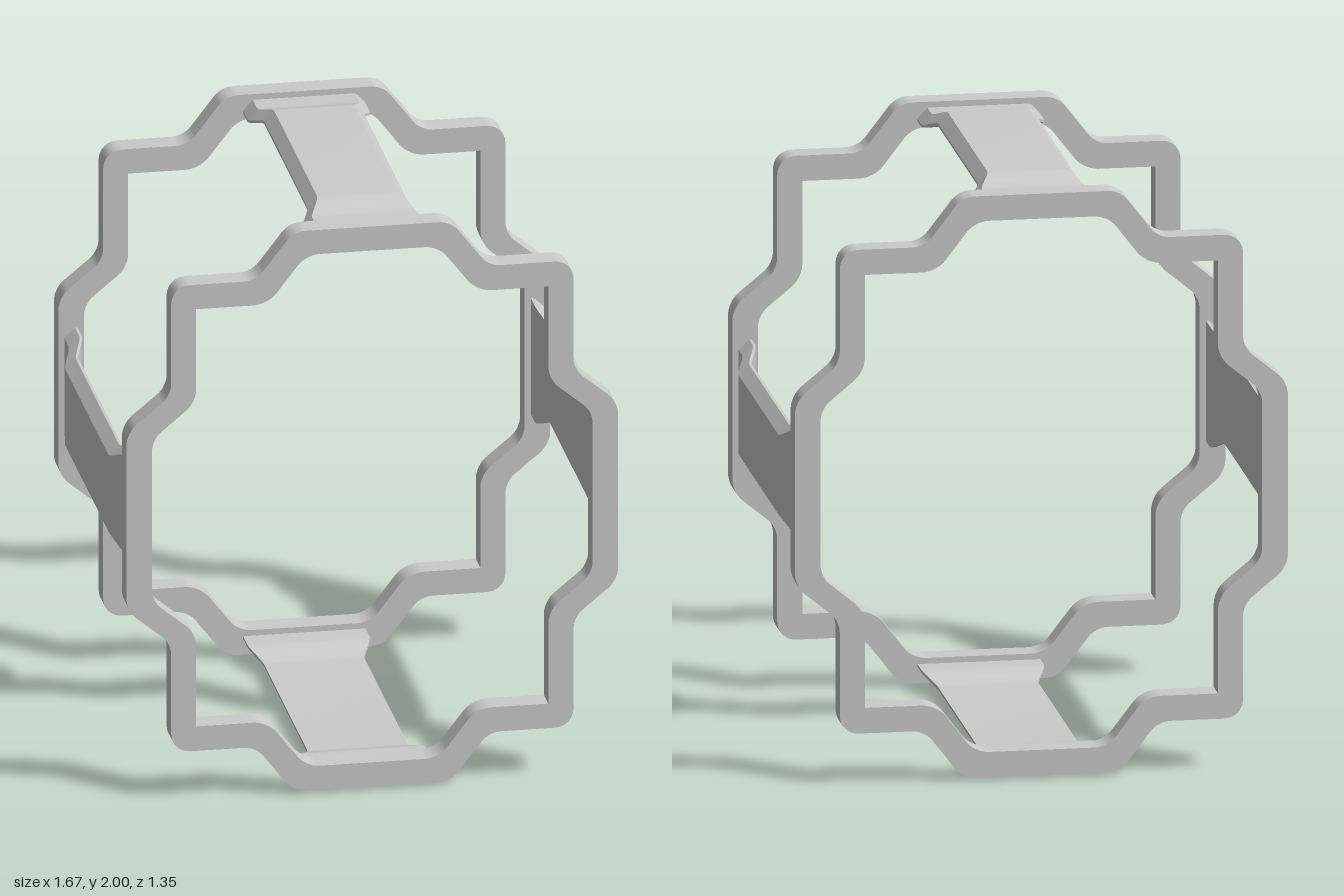
import * as THREE from 'three';
import { toCreasedNormals } from 'three/addons/utils/BufferGeometryUtils.js';

const material = new THREE.MeshStandardMaterial({ color: 0xcccccc });
const CREASE = 0.5;

// One quadrant of each ring outline, top to side: [x, y, corner trim]
const OUTER = [[0.263, 0.989, 0.04], [0.39, 0.8235, 0.04], [0.674, 0.8235, 0.065],
  [0.674, 0.4375, 0.04], [0.824, 0.3145, 0.045]];
const INNER = [[0.222, 0.904, 0.045], [0.35, 0.737, 0.05], [0.59, 0.737, 0],
  [0.59, 0.408, 0.045], [0.738, 0.286, 0.04]];

// Mirror a quadrant into a full counter-clockwise loop and trace it with rounded corners
function traceLoop(path, quadrant) {
  const flip = (list, sx, sy) => list.map(([x, y, t]) => [x * sx, y * sy, t]);
  const back = [...quadrant].reverse();
  const loop = [...back, ...flip(quadrant, -1, 1), ...flip(back, -1, -1), ...flip(quadrant, 1, -1)];
  const n = loop.length;
  loop.forEach(([x, y, trim], i) => {
    const p = new THREE.Vector2(x, y);
    const toward = (q, d) => new THREE.Vector2(q[0], q[1]).sub(p).setLength(d).add(p);
    const prev = loop[(i + n - 1) % n], next = loop[(i + 1) % n];
    const a = toward(prev, trim), b = toward(next, trim);
    if (i === 0) path.moveTo(a.x, a.y);
    else path.lineTo(a.x, a.y);
    if (trim > 0) {
      const c = toward(prev, trim * 0.42), d = toward(next, trim * 0.42);
      path.bezierCurveTo(c.x, c.y, d.x, d.y, b.x, b.y);
    }
  });
  path.closePath();
  return path;
}

function ringGeometry() {
  const shape = traceLoop(new THREE.Shape(), OUTER);
  shape.holes.push(traceLoop(new THREE.Path(), INNER));
  const geometry = new THREE.ExtrudeGeometry(shape, { depth: 0.086, bevelEnabled: false, curveSegments: 8 });
  geometry.translate(0, 0, -0.043);
  return toCreasedNormals(geometry, CREASE);
}

// Bevelled strip along z: its ends are wider and step inward (local +y is outward)
function strapGeometry() {
  const stations = [-0.59];
  for (let i = 0; i <= 10; i++) stations.push(-0.515 + i * 0.012);
  stations.push(...stations.map((z) => -z).reverse());

  const sections = stations.map((z) => {
    const s = THREE.MathUtils.smoothstep(Math.abs(z), 0.395, 0.515);
    const edge = 0.168 + 0.037 * s, flat = edge - 0.033, top = -0.031 * s;
    return [[-edge, top - 0.045], [edge, top - 0.045], [edge, top - 0.036],
      [flat, top], [-flat, top], [-edge, top - 0.036]].map(([x, y]) => [x, y, z]);
  });

  const positions = [];
  const tri = (a, b, c) => positions.push(...a, ...b, ...c);
  const n = sections[0].length;
  for (let i = 0; i < sections.length - 1; i++) {
    const s = sections[i], t = sections[i + 1];
    for (let j = 0; j < n; j++) {
      const k = (j + 1) % n;
      tri(s[j], s[k], t[k]);
      tri(s[j], t[k], t[j]);
    }
  }
  // End caps
  const first = sections[0], last = sections[sections.length - 1];
  for (let j = 1; j < n - 1; j++) {
    tri(first[0], first[j + 1], first[j]);
    tri(last[0], last[j], last[j + 1]);
  }
  const geometry = new THREE.BufferGeometry();
  geometry.setAttribute('position', new THREE.Float32BufferAttribute(positions, 3));
  return toCreasedNormals(geometry, CREASE);
}

export function createModel() {
  const model = new THREE.Group();
  model.name = 'ringFrame';

  // Front and back rings
  const ring = ringGeometry();
  for (const [name, z] of [['frontRing', 0.633], ['backRing', -0.633]]) {
    const mesh = new THREE.Mesh(ring, material);
    mesh.name = name;
    mesh.position.set(0, 1, z);
    model.add(mesh);
  }

  // Four straps joining the rings
  const strap = strapGeometry();
  const straps = [['topStrap', 0, 1], ['leftStrap', 0.835, 0], ['bottomStrap', 0, -1], ['rightStrap', -0.835, 0]];
  straps.forEach(([name, x, y], i) => {
    const mesh = new THREE.Mesh(strap, material);
    mesh.name = name;
    mesh.position.set(x, 1 + y, 0);
    mesh.rotation.z = -i * Math.PI / 2;
    model.add(mesh);
  });
  return model;
}
